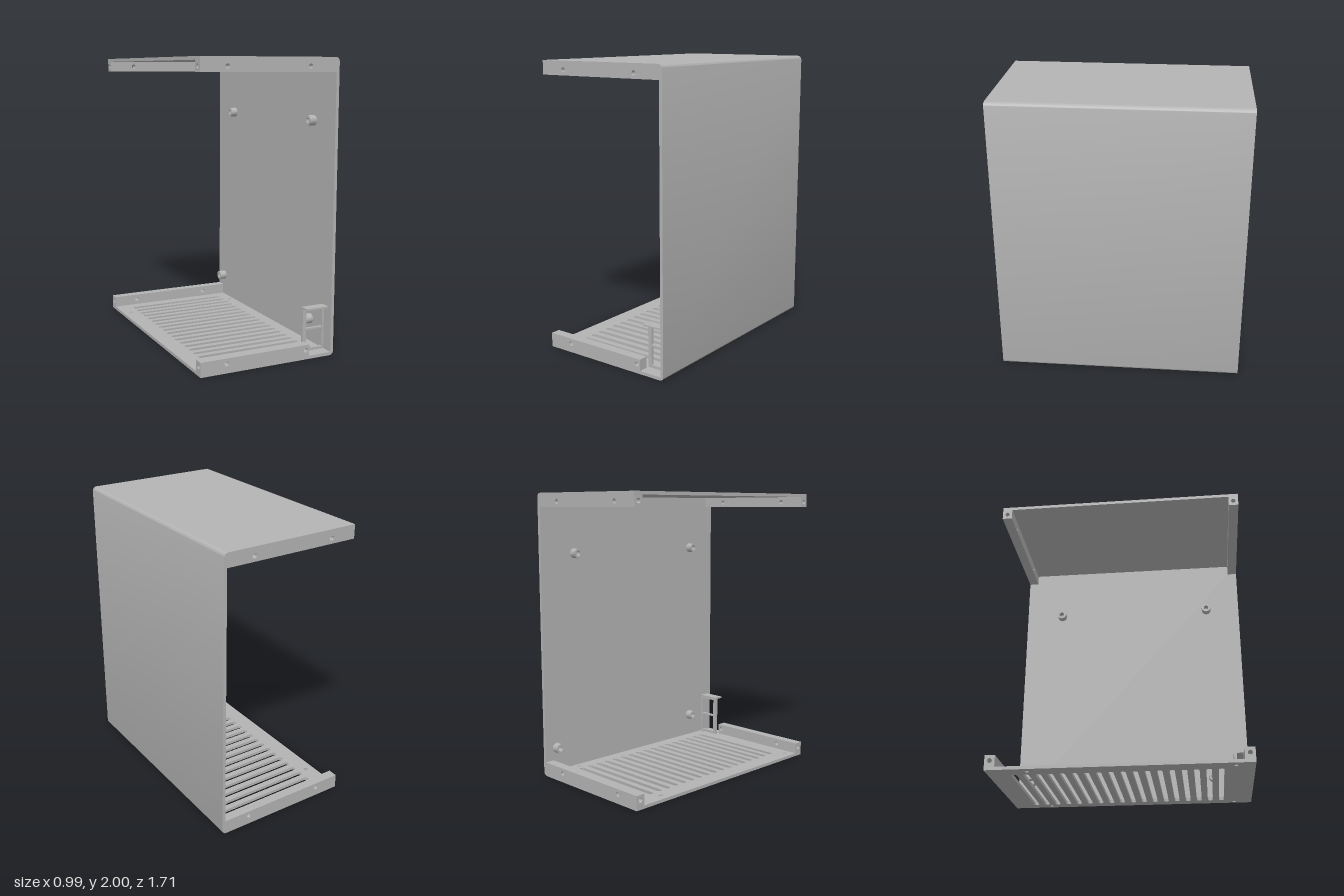
import * as THREE from 'three';
import { toCreasedNormals } from 'three/addons/utils/BufferGeometryUtils.js';

const X0 = -0.5, X1 = 0.492, ZH = 0.857, T = 0.022, R = 0.03;
const JOIN = 0.46;      // where the floor meets the bent wall
const FLANGE = 0.068;   // flange thickness

function rect(x0, y0, x1, y1, Type = THREE.Shape) {
  const s = new Type();
  s.moveTo(x0, y0);
  s.lineTo(x1, y0);
  s.lineTo(x1, y1);
  s.lineTo(x0, y1);
  s.closePath();
  return s;
}

function circle(x, y, r) {
  const p = new THREE.Path();
  p.absarc(x, y, r, 0, Math.PI * 2, true);
  return p;
}

// Rounded slot running along x
function slot(x0, x1, y, r) {
  const p = new THREE.Path();
  p.absarc(x1 - r, y, r, -Math.PI / 2, Math.PI / 2, false);
  p.absarc(x0 + r, y, r, Math.PI / 2, Math.PI * 1.5, false);
  p.closePath();
  return p;
}

function extrude(shape, depth) {
  const g = new THREE.ExtrudeGeometry(shape, { depth, bevelEnabled: false, curveSegments: 8 });
  return toCreasedNormals(g, 0.6);
}

export function createModel() {
  const model = new THREE.Group();
  model.name = 'openCase';
  const grey = new THREE.MeshStandardMaterial({ color: 0xb3b3b3 });
  grey.name = 'grey';

  const add = (name, geometry, x = 0, y = 0, z = 0, parent = model) => {
    const m = new THREE.Mesh(geometry, grey);
    m.name = name;
    m.position.set(x, y, z);
    parent.add(m);
    return m;
  };

  // Top plate and side wall, bent from one sheet with rounded corners
  const s = new THREE.Shape();
  s.moveTo(JOIN, 0);
  s.lineTo(X1 - R, 0);
  s.absarc(X1 - R, R, R, -Math.PI / 2, 0, false);
  s.lineTo(X1, 2 - R);
  s.absarc(X1 - R, 2 - R, R, 0, Math.PI / 2, false);
  s.lineTo(X0, 2);
  s.lineTo(X0, 2 - T);
  s.lineTo(X1 - T, 2 - T);
  s.lineTo(X1 - T, T);
  s.lineTo(JOIN, T);
  s.closePath();
  add('wallAndTop', extrude(s, 2 * ZH), 0, 0, -ZH);

  // Vented floor with corner screw holes
  const floor = rect(X0, -ZH, JOIN, ZH);
  for (let i = 0; i < 18; i++) {
    floor.holes.push(slot(-0.38, 0.385, -0.69 + i * 0.0785, 0.018));
  }
  for (const x of [-0.44, 0.43]) {
    for (const z of [-0.59, 0.735]) floor.holes.push(circle(x, z, 0.014));
  }
  add('ventedFloor', extrude(floor, T).rotateX(Math.PI / 2), 0, T, 0);

  // Flanges: a long bar with cross holes, and an end block with a lengthwise hole
  const flange = (name, y0, y1, holeY, xEnd, zBack) => {
    const group = new THREE.Group();
    group.name = name;
    const split = -0.42;
    const bar = rect(split, y0, xEnd, y1);
    for (const x of [-0.315, 0.275]) bar.holes.push(circle(x, holeY, 0.016));
    add('flangeBar', extrude(bar, FLANGE), 0, 0, zBack, group);
    const end = rect(0, y0, FLANGE, y1);
    end.holes.push(circle(FLANGE / 2, holeY, 0.016));
    add('flangeEnd', extrude(end, split - X0).rotateY(-Math.PI / 2), split, 0, zBack, group);
    model.add(group);
  };
  const inner = X1 - T;
  flange('topFrontFlange', 1.905, 2 - T, 1.941, inner, ZH - FLANGE);
  flange('topBackFlange', 1.905, 2 - T, 1.941, inner, -ZH);
  flange('bottomFrontFlange', T, 0.1, 0.063, 0.302, ZH - FLANGE);
  flange('bottomBackFlange', T, 0.1, 0.063, inner, -ZH);

  // Hollow standoffs on the inside of the wall
  const ring = new THREE.Shape();
  ring.absarc(0, 0, 0.035, 0, Math.PI * 2, false);
  ring.holes.push(circle(0, 0, 0.018));
  const standoff = extrude(ring, 0.052).rotateY(-Math.PI / 2);
  for (const [y, z] of [[1.58, -0.57], [1.58, 0.6], [0.19, -0.76], [0.19, 0.6]]) {
    add('standoff', standoff, inner, y, z);
  }

  // Socket frame with two openings and a top lip
  const frame = rect(0.302, T, inner, 0.333);
  frame.holes.push(rect(0.33, 0.042, 0.456, 0.17, THREE.Path));
  frame.holes.push(rect(0.33, 0.182, 0.456, 0.308, THREE.Path));
  add('socketFrame', extrude(frame, 0.02), 0, 0, 0.75);
  add('socketLip', new THREE.BoxGeometry(inner - 0.302, 0.012, 0.05),
    (inner + 0.302) / 2, 0.327, 0.795);

  return model;
}
